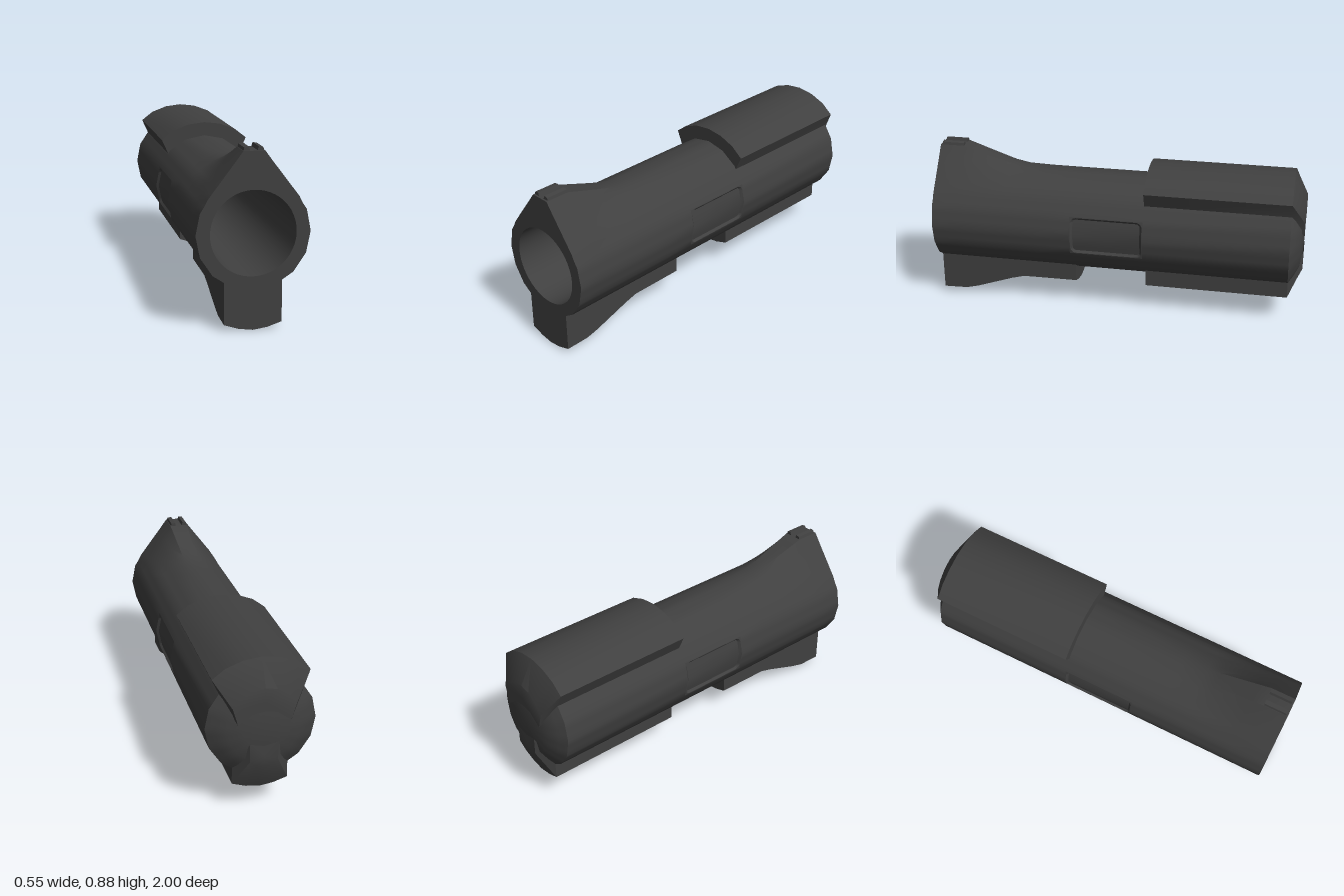
import * as THREE from 'three';
import { toCreasedNormals } from 'three/addons/utils/BufferGeometryUtils.js';

const R = 0.275, CY = 0.473, N = 48;
const material = new THREE.MeshStandardMaterial({ color: 0x404040 });

// Skin a list of closed cross-sections; skip(i, j) leaves a quad open
function loft(name, sections, skip = () => false) {
  const n = sections[0].length, index = [];
  const pts = sections.flat().map(p => new THREE.Vector3(...p));
  const tri = (a, b, c) => {
    const ab = pts[b].clone().sub(pts[a]), ac = pts[c].clone().sub(pts[a]);
    if (ab.cross(ac).length() > 1e-9) index.push(a, b, c);
  };
  for (let i = 0; i < sections.length - 1; i++) {
    for (let j = 0; j < n; j++) {
      if (skip(i, j)) continue;
      const a = i * n + j, b = i * n + (j + 1) % n;
      tri(a, b, a + n);
      tri(b, b + n, a + n);
    }
  }
  const geometry = new THREE.BufferGeometry().setFromPoints(pts);
  geometry.setIndex(index);
  const mesh = new THREE.Mesh(toCreasedNormals(geometry, 0.5), material);
  mesh.name = name;
  return mesh;
}

// Loft with both ends closed
function solid(name, sections) {
  const centre = s => {
    const c = [0, 1, 2].map(k => s.reduce((sum, p) => sum + p[k], 0) / s.length);
    return s.map(() => c);
  };
  return loft(name, [centre(sections[0]), ...sections, centre(sections.at(-1))]);
}

// Right half of a profile from top to bottom, completed by mirroring
function mirrored(half, z) {
  const left = half.slice(1, -1).reverse().map(([x, y]) => [-x, y]);
  return [...half, ...left].map(([x, y]) => [x, y, z]);
}

// Radius of a 16-sided circle, drawn up into a narrow ridge of height h
function outline(angle, radius, h) {
  const step = Math.PI / 8;
  const local = (angle + 1e-9) % step - step / 2;
  const round = radius * Math.cos(step / 2) / Math.cos(local);
  const t = Math.min(angle, 2 * Math.PI - angle);
  const d = Math.hypot(0.05, h);
  if (d <= radius) return round;
  const corner = Math.atan2(0.05, h), tangent = corner + Math.acos(radius / d);
  if (t <= corner + 0.01) return Math.max(round, h / Math.cos(t));
  return t < tangent ? Math.max(round, radius / Math.cos(tangent - t)) : round;
}

function ring(z, radiusAt) {
  return Array.from({ length: N }, (_, j) => {
    const a = j / N * Math.PI * 2, r = radiusAt(a);
    return [r * Math.sin(a), CY + r * Math.cos(a), z];
  });
}

// Bored tube, ridge at the front top, shallow dome at the back
function makeBody() {
  const bore = [[0, -0.7], [0.207, -0.7], [0.207, 1]].map(([r, z]) => ring(z, () => r));
  const stations = [[1, 0.389], [0.87, 0.389], [0.8, 0.366], [0.7, 0.333], [0.6, 0.301],
    [0.53, 0.283], [0.4, 0.277], [0.235, 0.272], [-0.16, 0], [-0.93, 0]];
  const walls = stations.map(([z, h]) => ring(z, a => outline(a, R, h)));
  const dome = [[0.235, -0.955], [0.18, -0.983], [0.1, -0.995], [0, -1]]
    .map(([r, z]) => ring(z, a => outline(a, r, 0)));
  const panelRow = bore.length + 7;
  return loft('body', [...bore, ...walls, ...dome], (i, j) =>
    i === panelRow && ((j >= 9 && j < 15) || (j >= 33 && j < 39)));
}

// Recessed side panel with rounded corners, filling the opening in the body
function makePanel(side) {
  const U = 0.1975, V = R * Math.sin(Math.PI / 8), rad = 0.035;
  const loop = [];
  [[1, 1], [-1, 1], [-1, -1], [1, -1]].forEach(([sx, sy], k) => {
    if (k % 2 === 0) loop.push({ cx: sx * (U - rad), cy: 0, dx: sx, dy: 0 });
    for (let i = 0; i <= 6; i++) {
      const a = (k + i / 6) * Math.PI / 2;
      loop.push({ cx: sx * (U - rad), cy: sy * (V - rad), dx: Math.cos(a), dy: Math.sin(a) });
    }
  });
  const place = (u, v, depth) => [
    side * (R - Math.abs(v) * Math.tan(Math.PI / 16) - depth), CY + v, 0.0375 - side * u];
  const inset = (d, depth) => loop.map(p =>
    place(p.cx + p.dx * (rad - d), p.cy + p.dy * (rad - d), depth));
  const square = loop.map(p => {
    const s = rad / Math.max(Math.abs(p.dx), Math.abs(p.dy));
    return place(p.cx + p.dx * s, p.cy + p.dy * s, 0);
  });
  const middle = loop.map(p => place(0, p.cy + p.dy * (rad - 0.016), 0.012));
  return loft(side > 0 ? 'leftPanel' : 'rightPanel',
    [square, inset(0.004, 0), inset(0.016, 0.012), middle]);
}

// Section of the lower fin and pad, with its lowest point at y
const keel = (y, z) => mirrored(
  [[0, 0.235], [0.14, 0.25], [0.14, y + 0.033], [0.07, y + 0.01], [0, y]], z);

// Tapered last section behind a pad
const taper = (section, scale, rise) => section.map(([x, y]) => [x * scale, y + rise, -1]);

export function createModel() {
  const model = new THREE.Group();
  model.name = 'launcherTube';
  model.add(makeBody(), makePanel(1), makePanel(-1));

  // Fin under the front
  model.add(solid('frontFin', [[1, 0.003], [0.87, 0.006], [0.8, 0.024], [0.7, 0.058],
    [0.6, 0.092], [0.53, 0.111], [0.23, 0.113]].map(([z, y]) => keel(y, z))));

  // Pads over and under the rear
  const hood = z => mirrored([[0, 0.822], [0.09, 0.811], [0.175, 0.779], [0.24, 0.729],
    [0.2, 0.64], [0.1, 0.69], [0, 0.7]], z);
  model.add(solid('upperPad', [hood(-0.16), hood(-0.93), taper(hood(-0.93), 0.65, -0.13)]));
  const lower = keel(0.12, -0.93);
  model.add(solid('lowerPad', [keel(0.12, -0.16), lower, taper(lower, 0.5, 0.15)]));

  // Twin sight rails on the ridge
  for (const s of [1, -1]) {
    const shape = new THREE.Shape([[0.014, 0.85], [0.052, 0.85], [0.045, 0.876], [0.023, 0.88]]
      .map(([x, y]) => new THREE.Vector2(s * x, y)));
    const rail = new THREE.Mesh(
      new THREE.ExtrudeGeometry(shape, { depth: 0.12, bevelEnabled: false }), material);
    rail.position.z = 0.87;
    rail.name = s > 0 ? 'leftSightRail' : 'rightSightRail';
    model.add(rail);
  }
  return model;
}
